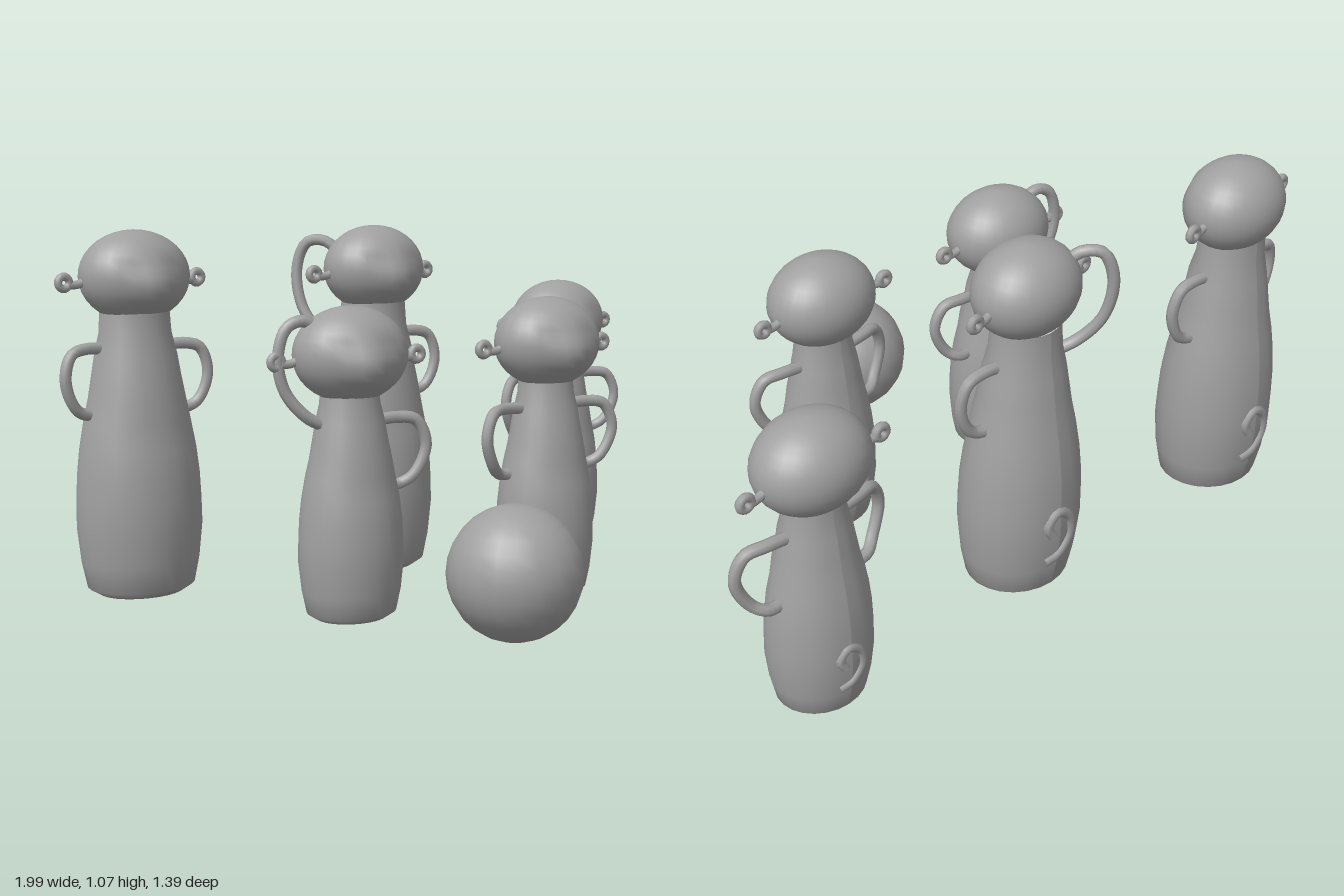
import * as THREE from 'three';

const clay = new THREE.MeshStandardMaterial({ color: 0xa0a0a0 });
clay.name = 'grey clay';

const bump = (d, w) => Math.exp(-(d * d) / (w * w));

// Half-width of the body against height (unit body: neck at y = 0.63)
const PROFILE = [
  [0, 0], [0.1, 0.003], [0.128, 0.02], [0.141, 0.08], [0.15, 0.16], [0.149, 0.22], [0.146, 0.28],
  [0.139, 0.34], [0.128, 0.4], [0.116, 0.45], [0.107, 0.5], [0.098, 0.55], [0.086, 0.6], [0.082, 0.66],
];

function widthAt(y) {
  for (let i = 1; i < PROFILE.length; i++) {
    const [r0, y0] = PROFILE[i - 1], [r1, y1] = PROFILE[i];
    if (y <= y1) return r0 + ((r1 - r0) * (y - y0)) / (y1 - y0);
  }
  return 0.08;
}

function mesh(name, geometry) {
  const m = new THREE.Mesh(geometry, clay);
  m.name = name;
  return m;
}

function tube(name, points, radius, closed = false) {
  const curve = new THREE.CatmullRomCurve3(points.map((p) => new THREE.Vector3(...p)), closed);
  return mesh(name, new THREE.TubeGeometry(curve, 28, radius, 8, closed));
}

// Move every vertex of a geometry by a rule
function reshape(geometry, rule) {
  const p = geometry.attributes.position;
  const v = new THREE.Vector3();
  for (let i = 0; i < p.count; i++) {
    v.fromBufferAttribute(p, i);
    rule(v);
    p.setXYZ(i, v.x, v.y, v.z);
  }
  geometry.computeVertexNormals();
  return geometry;
}

// Skittle-shaped body with soft clothing folds across the front
function makeBody() {
  const points = PROFILE.map(([r, y]) => new THREE.Vector2(r, y));
  const geometry = new THREE.LatheGeometry(points, 24, Math.PI);
  return mesh('body', reshape(geometry, (v) => {
    const front = Math.max(0, v.z) / 0.15;
    v.z *= 0.89;
    v.z += front * (0.008 * bump(v.y - 0.46, 0.03) + 0.006 * bump(v.y - 0.56, 0.025)
      - 0.008 * bump(v.y - 0.38, 0.03));
  }));
}

// Curled tail lying on the lower back
function makeTail() {
  const path = [[0.035, 0.1], [0.0, 0.11], [-0.035, 0.15], [-0.03, 0.2], [0.01, 0.23], [0.035, 0.2], [0.02, 0.17]];
  return tube('tail', path.map(([x, y]) => {
    const r = widthAt(y);
    return [x, y, -0.89 * Math.sqrt(r * r - x * x) + 0.004];
  }), 0.013);
}

// Wide head with eye hollows and a pushed-out muzzle
function makeHead() {
  const head = new THREE.Group();
  head.name = 'head';
  const skull = new THREE.SphereGeometry(1, 28, 18);
  head.add(mesh('skull', reshape(skull, (v) => {
    v.set(v.x * 0.164, v.y * 0.132, v.z * 0.134);
    if (v.z > 0) {
      v.z += 0.022 * bump(Math.hypot(v.x, v.y + 0.03), 0.06);
      for (const s of [-1, 1]) v.z -= 0.013 * bump(Math.hypot(v.x - s * 0.06, v.y - 0.03), 0.025);
      v.z += 0.008 * bump(Math.hypot(v.x, v.y + 0.07), 0.03);
      v.z -= 0.007 * bump(v.y + 0.095, 0.015) * bump(v.x, 0.06);
    }
  })));
  for (const s of [-1, 1]) {
    head.add(tube('earStem', [[s * 0.14, -0.005, -0.01], [s * 0.17, -0.018, -0.012], [s * 0.2, -0.02, -0.015]], 0.012));
    const ear = mesh('ear', new THREE.TorusGeometry(0.017, 0.012, 8, 14));
    ear.position.set(s * 0.213, -0.012, -0.015);
    head.add(ear);
  }
  return head;
}

// Arm shapes, as [outward, up, forward] from the figure's foot
const ARM_SMALL = [[0.075, 0.555, 0], [0.15, 0.56, 0.005], [0.205, 0.55, 0.02], [0.234, 0.48, 0.028],
  [0.2, 0.395, 0.015], [0.165, 0.37, -0.005], [0.115, 0.365, -0.005]];
const ARM_TALL = [[0.08, 0.735, 0], [0.15, 0.74, 0.005], [0.2, 0.725, 0.01], [0.222, 0.65, 0.015],
  [0.185, 0.565, 0.01], [0.11, 0.545, 0]];
const ARM_SMALL_UP = [[0.07, 0.55, 0], [0.13, 0.58, -0.01], [0.185, 0.65, -0.03], [0.203, 0.74, -0.035],
  [0.18, 0.82, -0.03], [0.14, 0.84, -0.02], [0.09, 0.82, -0.01]];
const ARM_TALL_UP = [[0.08, 0.7, 0], [0.15, 0.74, -0.05], [0.192, 0.82, -0.1], [0.2, 0.94, -0.12],
  [0.175, 1.02, -0.1], [0.135, 1.025, -0.065], [0.1, 0.99, -0.03]];

function makeFigure({ name, x, z, tall, raised, base = 0, turn = 0 }) {
  const figure = new THREE.Group();
  figure.name = name;
  figure.position.set(x, 0, z);

  const torso = new THREE.Group();
  torso.name = 'torso';
  torso.add(makeBody(), makeTail());
  torso.position.y = base;
  if (tall) torso.scale.set(1.23, 1.27, 1.22);
  figure.add(torso);

  const head = makeHead();
  head.position.set(0, tall ? 0.94 : 0.745, 0.005);
  head.rotation.y = turn;
  figure.add(head);

  const down = tall ? ARM_TALL : ARM_SMALL;
  const up = tall ? ARM_TALL_UP : ARM_SMALL_UP;
  for (const s of [-1, 1]) {
    const path = raised && s < 0 ? up : down;
    figure.add(tube(s > 0 ? 'leftArm' : 'rightArm', path.map(([a, b, c]) => [s * a, b, c]), 0.017));
  }
  return figure;
}

export function createModel() {
  const model = new THREE.Group();
  model.name = 'figuresWithBall';
  const figures = [
    { name: 'tallFigureOuter', x: -0.745, z: -0.53, tall: true, base: 0.018, turn: 0.06 },
    { name: 'tallFigureInner', x: 0.025, z: -0.46, tall: true, raised: true, base: 0.005, turn: 0.06 },
    { name: 'smallFigureWaving', x: -0.395, z: 0.06, raised: true, base: 0.012, turn: -0.1 },
    { name: 'smallFigureFront', x: 0.25, z: 0.11, turn: -0.04 },
    { name: 'smallFigureOuter', x: 0.755, z: -0.455 },
  ];
  for (const f of figures) model.add(makeFigure(f));

  const ball = mesh('ball', new THREE.SphereGeometry(0.183, 20, 14));
  ball.position.set(-0.172, 0.192, 0.508);
  model.add(ball);
  return model;
}
